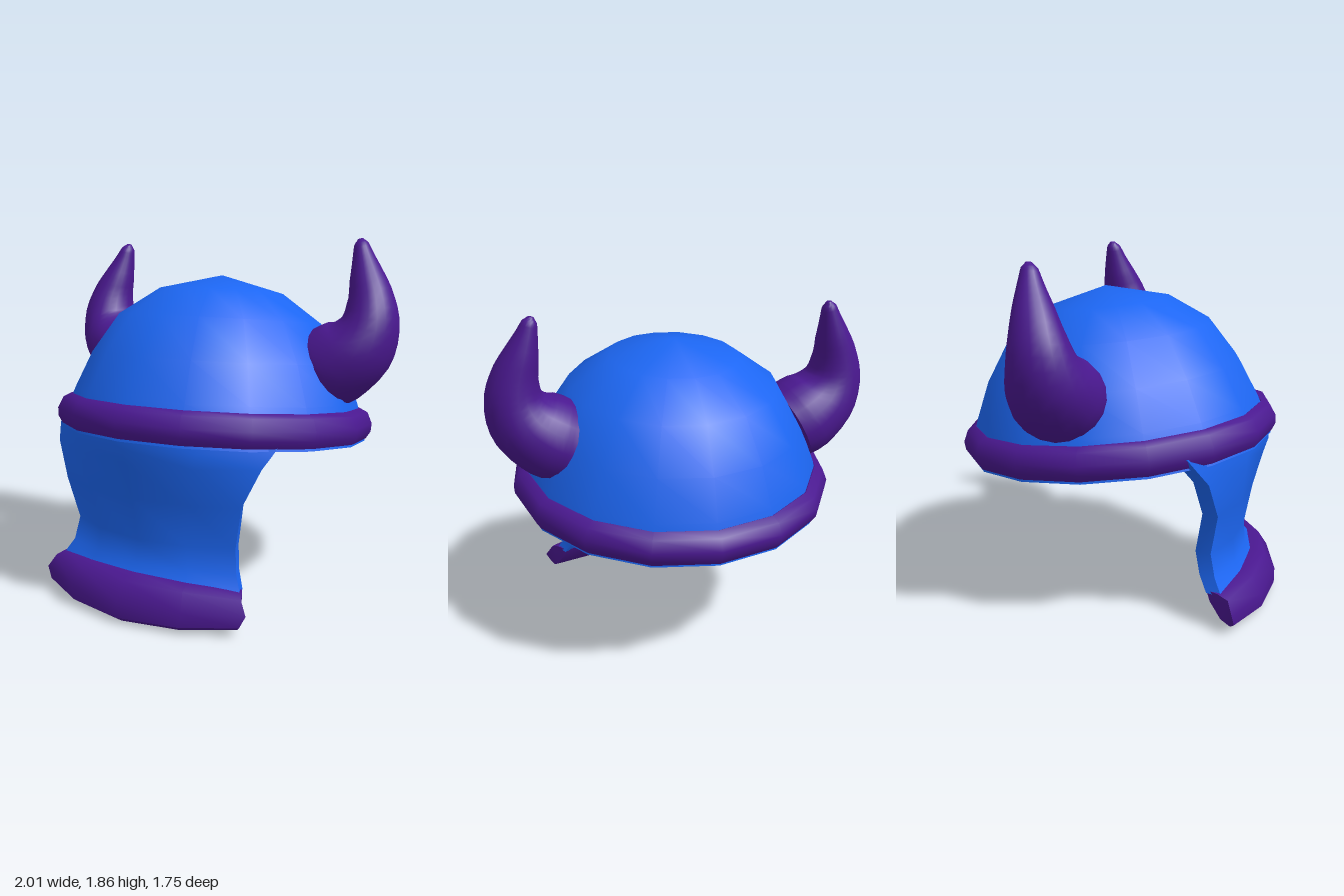
import * as THREE from 'three';
import { toCreasedNormals } from 'three/addons/utils/BufferGeometryUtils.js';

const blue = new THREE.MeshStandardMaterial({ color: 0x1c66f2 });
const blueFlat = new THREE.MeshStandardMaterial({ color: 0x1c66f2, flatShading: true });
const purple = new THREE.MeshStandardMaterial({ color: 0x4a1890 });

function addMesh(parent, name, geometry, material) {
  const mesh = new THREE.Mesh(geometry, material);
  mesh.name = name;
  parent.add(mesh);
  return mesh;
}

// Skin a row of closed rings (counter-clockwise about the sweep direction) and cap both ends
function loft(rings, crease) {
  const n = rings[0].length, last = (rings.length - 1) * n, index = [];
  for (let i = 0; i < rings.length - 1; i++) {
    for (let j = 0; j < n; j++) {
      const a = i * n + j, b = i * n + (j + 1) % n;
      index.push(a, b, b + n, a, b + n, a + n);
    }
  }
  for (let j = 0; j < n / 2 - 1; j++) {
    const a = j, b = j + 1, c = n - 2 - j, d = n - 1 - j;
    index.push(a, c, b, a, d, c);
    index.push(last + a, last + b, last + c, last + a, last + c, last + d);
  }
  const geo = new THREE.BufferGeometry();
  geo.setAttribute('position', new THREE.Float32BufferAttribute(rings.flat(2), 3));
  geo.setIndex(index);
  return toCreasedNormals(geo, crease);
}

// 16-sided turned part from [radius, height] pairs
function turned(profile, crease) {
  const pts = profile.map(([r, h]) => new THREE.Vector2(r, h));
  return toCreasedNormals(new THREE.LatheGeometry(pts, 16, -0.03), crease);
}

// Part bowed across x; each row is [centre y, centre z, edge x, edge z, edge y]
function bowed(rows) {
  const columns = [-1, -0.55, 0, 0.55, 1];
  return loft(columns.map((t) => rows.map(([y, zc, xe, ze, ye]) =>
    [xe * t, y + (ye - y) * t * t, zc + (ze - zc) * t * t])), 0.8);
}

// Curved horn, oval in section; rows are [x, y, z, radius]
function hornGeometry(side) {
  const rows = [
    [0.62, 1.19, -0.12, 0.21], [0.70, 1.23, -0.12, 0.215], [0.81, 1.32, -0.125, 0.19],
    [0.86, 1.43, -0.14, 0.152], [0.855, 1.55, -0.16, 0.12], [0.82, 1.67, -0.185, 0.088],
    [0.79, 1.77, -0.205, 0.056], [0.772, 1.835, -0.215, 0.036], [0.765, 1.86, -0.22, 0.014],
  ];
  const path = new THREE.CatmullRomCurve3(rows.map((r) => new THREE.Vector3(r[0], r[1], r[2])));
  const radii = new THREE.SplineCurve(rows.map((r, i) => new THREE.Vector2(i, r[3])));
  const rings = [], steps = 24, sides = 20;
  for (let i = 0; i <= steps; i++) {
    const p = path.getPoint(i / steps), t = path.getTangent(i / steps);
    const r = radii.getPoint(i / steps).y, ring = [];
    const len = Math.hypot(t.x, t.y);
    for (let j = 0; j < sides; j++) {
      const a = (j / sides) * Math.PI * 2, u = (r * Math.cos(a)) / len;
      ring.push([side * (p.x + u * t.y), p.y - u * t.x, p.z - 1.1 * r * Math.sin(a)]);
    }
    rings.push(side > 0 ? ring : ring.reverse());
  }
  return loft(rings, 1.0);
}

export function createModel() {
  const model = new THREE.Group();
  model.name = 'hornedHelmet';

  // Cap, leaning back so its front rim is higher
  const cap = new THREE.Group();
  cap.name = 'cap';
  cap.position.set(0.015, 0.915, -0.02);
  cap.rotation.x = -0.1;
  model.add(cap);
  addMesh(cap, 'dome', turned([
    [0.75, -0.1], [0.83, -0.095], [0.81, 0], [0.775, 0.11], [0.69, 0.31],
    [0.555, 0.52], [0.34, 0.67], [0, 0.757],
  ], 0.8), blue);
  addMesh(cap, 'domeLining', turned([
    [0, 0.69], [0.3, 0.61], [0.5, 0.47], [0.63, 0.29], [0.71, 0.1], [0.735, 0], [0.75, -0.1],
  ], 0.8), blueFlat);
  addMesh(cap, 'rimBand', turned([
    [0.72, -0.05], [0.835, -0.082], [0.858, -0.045], [0.862, 0], [0.835, 0.06],
    [0.79, 0.08], [0.71, 0.03], [0.72, -0.05],
  ], 0.8), purple);

  // Flared guard hanging from the front rim
  const outer = [
    [0.97, 0.80, 0.69, 0.45, 0.93], [0.87, 0.805, 0.66, 0.50, 0.86], [0.79, 0.78, 0.625, 0.55, 0.79],
    [0.60, 0.73, 0.54, 0.59, 0.60], [0.38, 0.69, 0.49, 0.555, 0.38], [0.26, 0.70, 0.51, 0.58, 0.26],
    [0.20, 0.75, 0.555, 0.62, 0.18],
  ];
  const inner = outer.map(([y, zc, xe, ze, ye]) => [y, zc - 0.085, xe * 0.94, ze - 0.08, ye]).reverse();
  addMesh(model, 'guard', bowed([...outer, ...inner]), blue);
  addMesh(model, 'guardTrim', bowed([
    [0.225, 0.74, 0.555, 0.60, 0.195], [0.205, 0.81, 0.58, 0.655, 0.175], [0.115, 0.87, 0.62, 0.68, 0.11],
    [0.03, 0.87, 0.59, 0.69, 0.05], [0, 0.83, 0.57, 0.67, 0.03], [0.02, 0.76, 0.56, 0.62, 0.06],
    [0.12, 0.685, 0.53, 0.56, 0.14], [0.2, 0.64, 0.51, 0.54, 0.19],
  ]), purple);

  // Horns
  addMesh(model, 'leftHorn', hornGeometry(1), purple);
  addMesh(model, 'rightHorn', hornGeometry(-1), purple).position.set(0.005, -0.02, -0.055);

  return model;
}
